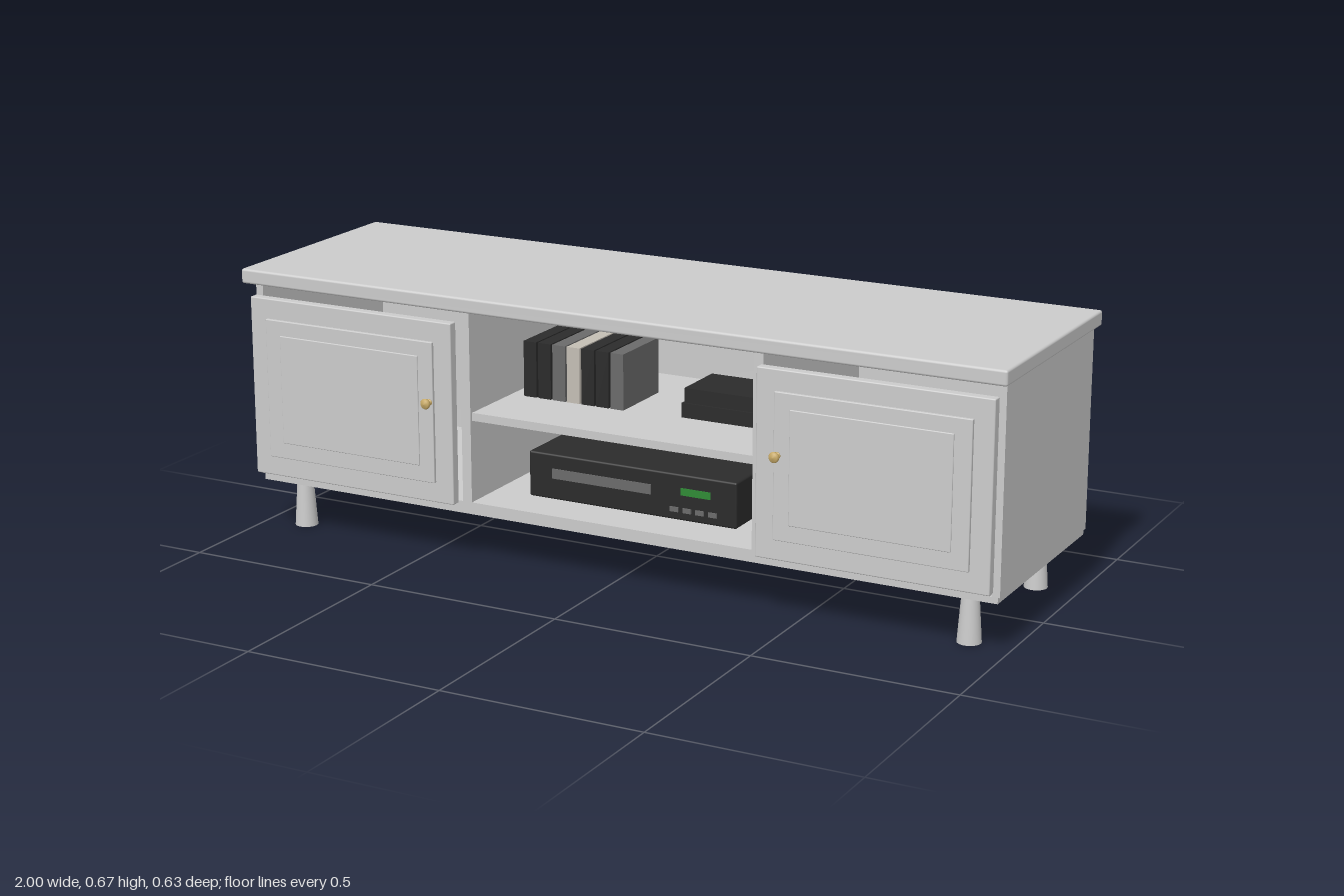
import * as THREE from 'three';
import { RoundedBoxGeometry } from 'three/addons/geometries/RoundedBoxGeometry.js';

export function createModel() {
  const model = new THREE.Group();
  model.name = 'mediaCabinet';
  const mat = (color) => new THREE.MeshStandardMaterial({ color });
  const grey = mat(0xcccccc), black = mat(0x2b2b2b), mid = mat(0x6a6a6a);
  const pale = mat(0xc4beb4), green = mat(0x2f8a35), brass = mat(0xc9ab68);

  // Box given by its limits; r > 0 rounds the edges
  function box(name, [x0, x1], [y0, y1], [z0, z1], material = grey, r = 0, parent = model) {
    const size = [x1 - x0, y1 - y0, z1 - z0];
    const geo = r ? new RoundedBoxGeometry(...size, 2, r) : new THREE.BoxGeometry(...size);
    const mesh = new THREE.Mesh(geo, material);
    mesh.name = name;
    mesh.position.set((x0 + x1) / 2, (y0 + y1) / 2, (z0 + z1) / 2);
    parent.add(mesh);
    return mesh;
  }
  // Limits mirrored to the given side
  const side = (s, a, b) => (s > 0 ? [a, b] : [-b, -a]);

  // Carcass
  box('top', [-1, 1], [0.63, 0.667], [-0.315, 0.283], grey, 0.006);
  box('bottomBoard', [-0.98, 0.98], [0.12, 0.135], [-0.303, 0.243]);
  box('floor', [-0.96, 0.96], [0.135, 0.15], [-0.29, 0.243]);
  box('backPanel', [-0.984, 0.984], [0.135, 0.63], [-0.303, -0.288]);
  box('shelf', [-0.375, 0.375], [0.353, 0.373], [-0.288, 0.235]);

  // Knob profile: radius, distance from the door
  const knobProfile = [[0, 0], [0.008, 0], [0.008, 0.002], [0.004, 0.004], [0.004, 0.01],
    [0.012, 0.014], [0.013, 0.019], [0.01, 0.023], [0, 0.025]].map(([r, h]) => new THREE.Vector2(r, h));
  const knobGeo = new THREE.LatheGeometry(knobProfile, 24).rotateX(Math.PI / 2);
  const legGeo = new THREE.CylinderGeometry(0.02, 0.0285, 0.12, 32);

  for (const s of [1, -1]) {
    const label = s > 0 ? 'left' : 'right';
    box(label + 'Side', side(s, 0.965, 0.985), [0.135, 0.63], [-0.303, 0.243]);
    box(label + 'Divider', side(s, 0.375, 0.4), [0.15, 0.63], [-0.288, 0.243]);

    // Door with stepped raised panel and knob
    const door = new THREE.Group();
    door.name = label + 'Door';
    model.add(door);
    box('doorSlab', side(s, 0.402, 0.975), [0.15, 0.6], [0.258, 0.283], grey, 0.003, door);
    box('doorMoulding', side(s, 0.45, 0.927), [0.2, 0.55], [0.28, 0.291], grey, 0.002, door);
    box('doorPanel', side(s, 0.49, 0.885), [0.24, 0.513], [0.285, 0.294], grey, 0.002, door);
    const knob = new THREE.Mesh(knobGeo, brass);
    knob.name = 'knob';
    knob.position.set(s * 0.46, 0.402, 0.291);
    door.add(knob);

    // Tapered legs
    for (const z of [0.191, -0.225]) {
      const leg = new THREE.Mesh(legGeo, grey);
      leg.name = label + (z > 0 ? 'FrontLeg' : 'BackLeg');
      leg.position.set(s * 0.895, 0.06, z);
      model.add(leg);
    }
  }

  // Row of upright cases on the shelf
  [black, black, mid, pale, black, black, mid].forEach((m, i) => {
    const x = -0.339 + i * 0.04;
    box('case' + (i + 1), [x, x + 0.035], [0.373, 0.512], [-0.13, 0.05], m);
  });

  // Two flat cases stacked on the shelf
  box('lowerFlatCase', [0.085, 0.337], [0.373, 0.409], [-0.11, 0.035], black);
  box('upperFlatCase', [0.09, 0.348], [0.409, 0.445], [-0.115, 0.03], black);

  // Video player with slot, display and buttons
  const player = new THREE.Group();
  player.name = 'videoPlayer';
  model.add(player);
  box('playerBody', [-0.28, 0.28], [0.15, 0.264], [-0.15, 0.13], black, 0.005, player);
  box('tapeSlot', [-0.216, 0.053], [0.203, 0.228], [0.12, 0.132], mid, 0, player);
  box('display', [0.133, 0.212], [0.213, 0.231], [0.12, 0.132], green, 0, player);
  for (let i = 0; i < 4; i++) {
    const x = 0.105 + i * 0.034;
    box('button' + (i + 1), [x, x + 0.022], [0.17, 0.182], [0.12, 0.133], mid, 0, player);
  }

  return model;
}
